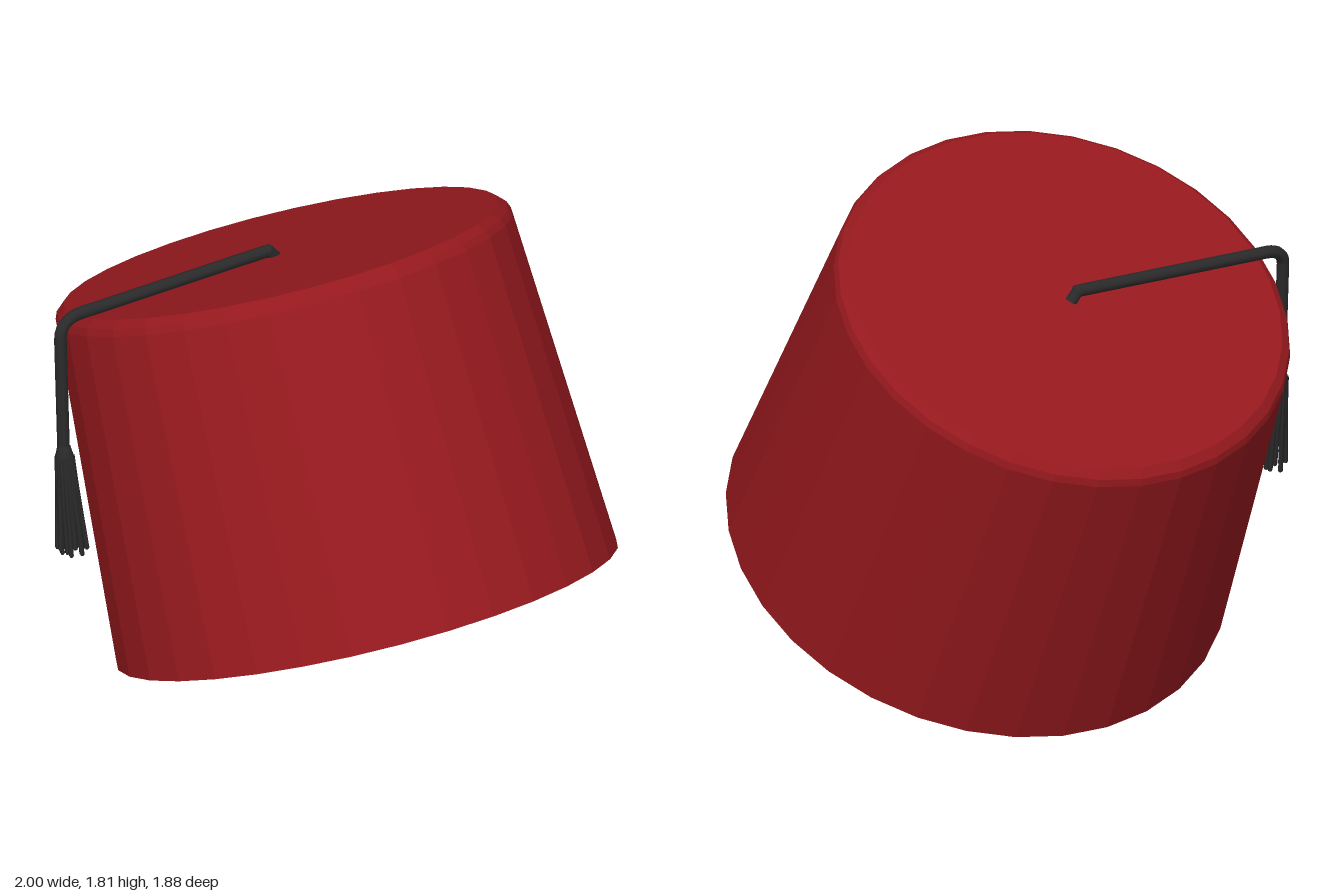
import * as THREE from 'three';

const v = (x, y, z) => new THREE.Vector3(x, y, z);

export function createModel() {
  const model = new THREE.Group();
  const red = new THREE.MeshStandardMaterial({ color: 0x96191e, flatShading: true, side: THREE.DoubleSide });
  const black = new THREE.MeshStandardMaterial({ color: 0x2a2a2a });

  const add = (name, geometry, material, parent = model) => {
    const mesh = new THREE.Mesh(geometry, material);
    mesh.name = name;
    parent.add(mesh);
    return mesh;
  };

  // Hat body: open tapered shell with a bevelled flat crown, tilted on its axis
  const profile = [[0.878, 0], [0.8, 1.2], [0.79, 1.225], [0.76, 1.25], [0, 1.25]]
    .map(([r, y]) => new THREE.Vector2(r, y));
  const hat = add('hatBody', new THREE.LatheGeometry(profile, 32), red);
  const axis = v(-0.358, 0.912, -0.2).normalize();
  const side = v(1, 0, 0).addScaledVector(axis, -axis.x).normalize();
  hat.quaternion.setFromRotationMatrix(
    new THREE.Matrix4().makeBasis(side, axis, side.clone().cross(axis)));
  hat.position.set(0.18, 0.36, 0.08);

  // Cord: from the crown centre, over the rim and straight down
  const cordPath = new THREE.CurvePath();
  const points = [v(-0.28, 1.49, -0.155), v(-0.295, 1.525, -0.13), v(-0.72, 1.485, 0.46),
    v(-0.755, 1.42, 0.54), v(-0.735, 0.97, 0.555)];
  cordPath.add(new THREE.LineCurve3(points[0], points[1]));
  cordPath.add(new THREE.LineCurve3(points[1], points[2]));
  cordPath.add(new THREE.QuadraticBezierCurve3(points[2], v(-0.76, 1.48, 0.525), points[3]));
  cordPath.add(new THREE.LineCurve3(points[3], points[4]));
  add('cord', new THREE.TubeGeometry(cordPath, 72, 0.022, 8), black);
  add('cordEnd', new THREE.SphereGeometry(0.022, 8, 6), black).position.copy(points[1]);

  // Tassel: collar, solid core and a flared ring of strands
  const tassel = new THREE.Group();
  tassel.name = 'tassel';
  tassel.position.set(-0.735, 1.01, 0.555);
  tassel.quaternion.setFromUnitVectors(v(0, -1, 0), v(0.045, -0.39, 0.025).normalize());
  model.add(tassel);
  const knot = [[0.022, 0], [0.032, -0.04], [0.036, -0.1], [0.037, -0.25], [0, -0.27]]
    .reverse().map(([r, y]) => new THREE.Vector2(r, y));
  add('tasselKnot', new THREE.LatheGeometry(knot, 10), black, tassel);
  const strands = 16;
  for (let i = 0; i < strands; i++) {
    const a = (i / strands) * Math.PI * 2;
    const spread = i % 2 ? 0.05 : 0.036;
    const at = (r, y) => v(Math.cos(a) * r, y, Math.sin(a) * r);
    const curve = new THREE.CatmullRomCurve3(
      [at(0.026, -0.04), at(0.032, -0.15), at(spread, -0.385 - 0.012 * Math.sin(i * 2.3))]);
    add('tasselStrand', new THREE.TubeGeometry(curve, 6, 0.009, 5), black, tassel);
    // Strand tip
    add('strandTip', new THREE.SphereGeometry(0.009, 5, 4), black, tassel).position.copy(curve.getPoint(1));
  }
  return model;
}
